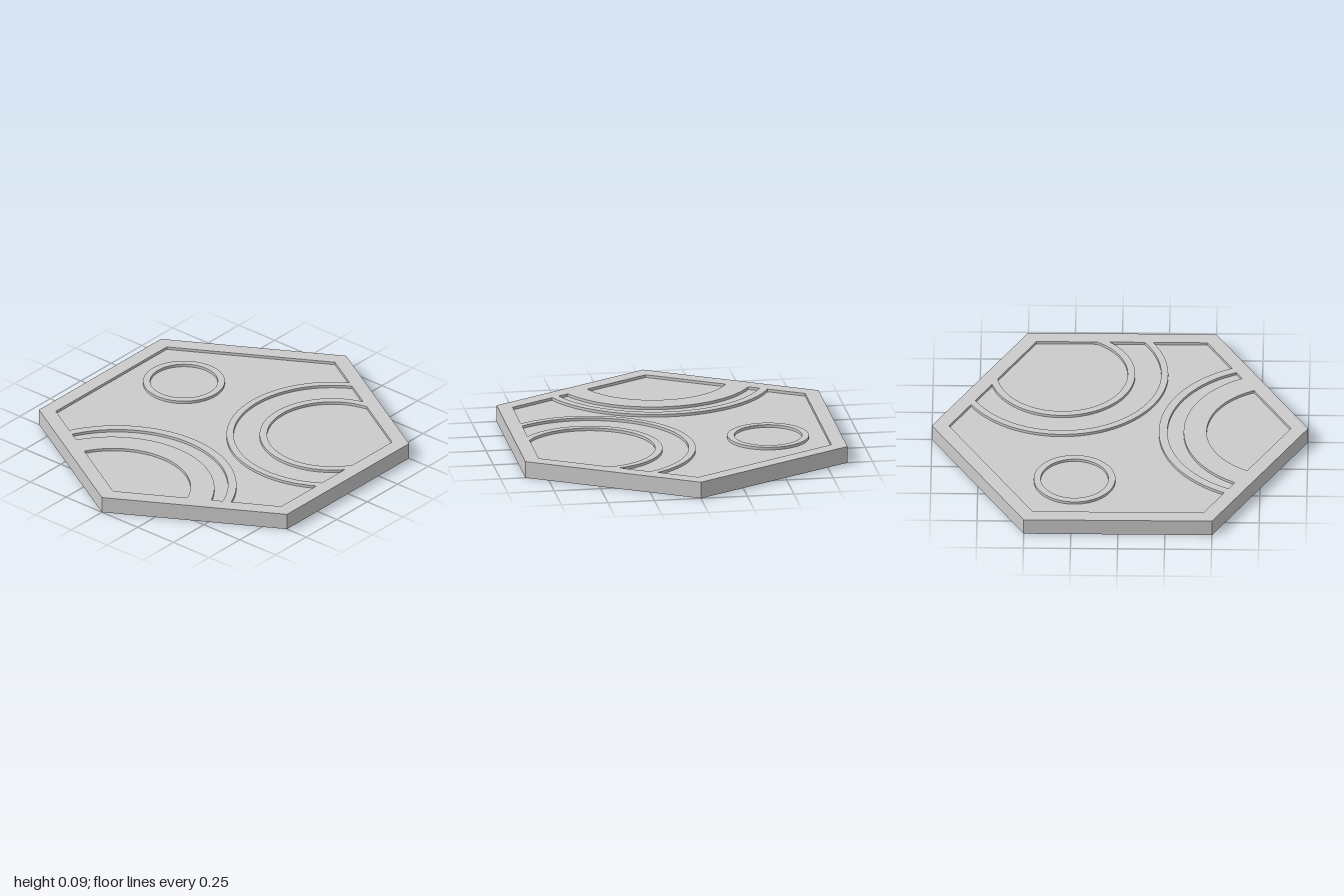
import * as THREE from 'three';

const HEIGHT = 0.09, RECESS = 0.015, APOTHEM = 0.787;
const RAD = Math.PI / 180;

// Plan coordinates: Vector2 (x, z)
const corner = (deg, r = APOTHEM / Math.cos(30 * RAD)) =>
  new THREE.Vector2(r * Math.cos(deg * RAD), r * Math.sin(deg * RAD));

// Circle arc cut off by two inner rim edges, given by the angles of their normals
function arc(cx, cz, r, fromEdge, toEdge, steps = 64) {
  const hit = (deg) => Math.acos(
    (APOTHEM - cx * Math.cos(deg * RAD) - cz * Math.sin(deg * RAD)) / r);
  const a = fromEdge * RAD + hit(fromEdge);
  const b = toEdge * RAD + 2 * Math.PI - hit(toEdge);
  return Array.from({ length: steps + 1 }, (_, i) => {
    const t = a + (b - a) * i / steps;
    return new THREE.Vector2(cx + r * Math.cos(t), cz + r * Math.sin(t));
  });
}

// Extrude a plan shape downward from the top surface
function topLayer(shape, name, material) {
  const geometry = new THREE.ExtrudeGeometry(shape, {
    depth: RECESS, bevelEnabled: false, curveSegments: 48,
  });
  geometry.rotateX(Math.PI / 2);
  const mesh = new THREE.Mesh(geometry, material);
  mesh.position.y = HEIGHT;
  mesh.name = name;
  return mesh;
}

export function createModel() {
  const group = new THREE.Group();
  group.name = 'hexTile';
  const material = new THREE.MeshStandardMaterial({ color: 0xcccccc, flatShading: true });

  // Base slab, its top is the recessed floor
  const base = new THREE.Mesh(
    new THREE.CylinderGeometry(1, 1, HEIGHT - RECESS, 6), material);
  base.position.y = (HEIGHT - RECESS) / 2;
  base.name = 'baseSlab';
  group.add(base);

  // Curved track edges, outermost first
  const side = [0.562, 0.525, 0.386, 0.347].map((r) => arc(0.49, -0.312, r, 0, -60));
  const front = [[0.843, 0.636], [0.843, 0.591], [0.885, 0.546], [0.872, 0.411]]
    .map(([cz, r]) => arc(-0.03, cz, r, 120, 60));

  // Rim and raised track walls: a hexagon with the floor areas cut out
  const rim = new THREE.Shape([30, 90, 150, 210, 270, 330].map((d) => corner(d, 1)));
  const floors = [
    [...side[0], corner(270), corner(210), corner(150), ...front[0], corner(30)],
    [...side[1], ...side[2].slice().reverse()],
    [...side[3], corner(330)],
    [...front[1], ...front[2].slice().reverse()],
    [...front[3], corner(90)],
  ];
  rim.holes = floors.map((points) => new THREE.Path(points));
  group.add(topLayer(rim, 'rimAndTrackWalls', material));

  // Small raised ring on the open floor
  const ring = new THREE.Shape().absarc(-0.48, -0.235, 0.217, 0, Math.PI * 2);
  ring.holes.push(new THREE.Path().absarc(-0.48, -0.235, 0.18, 0, Math.PI * 2));
  group.add(topLayer(ring, 'smallRing', material));

  return group;
}
